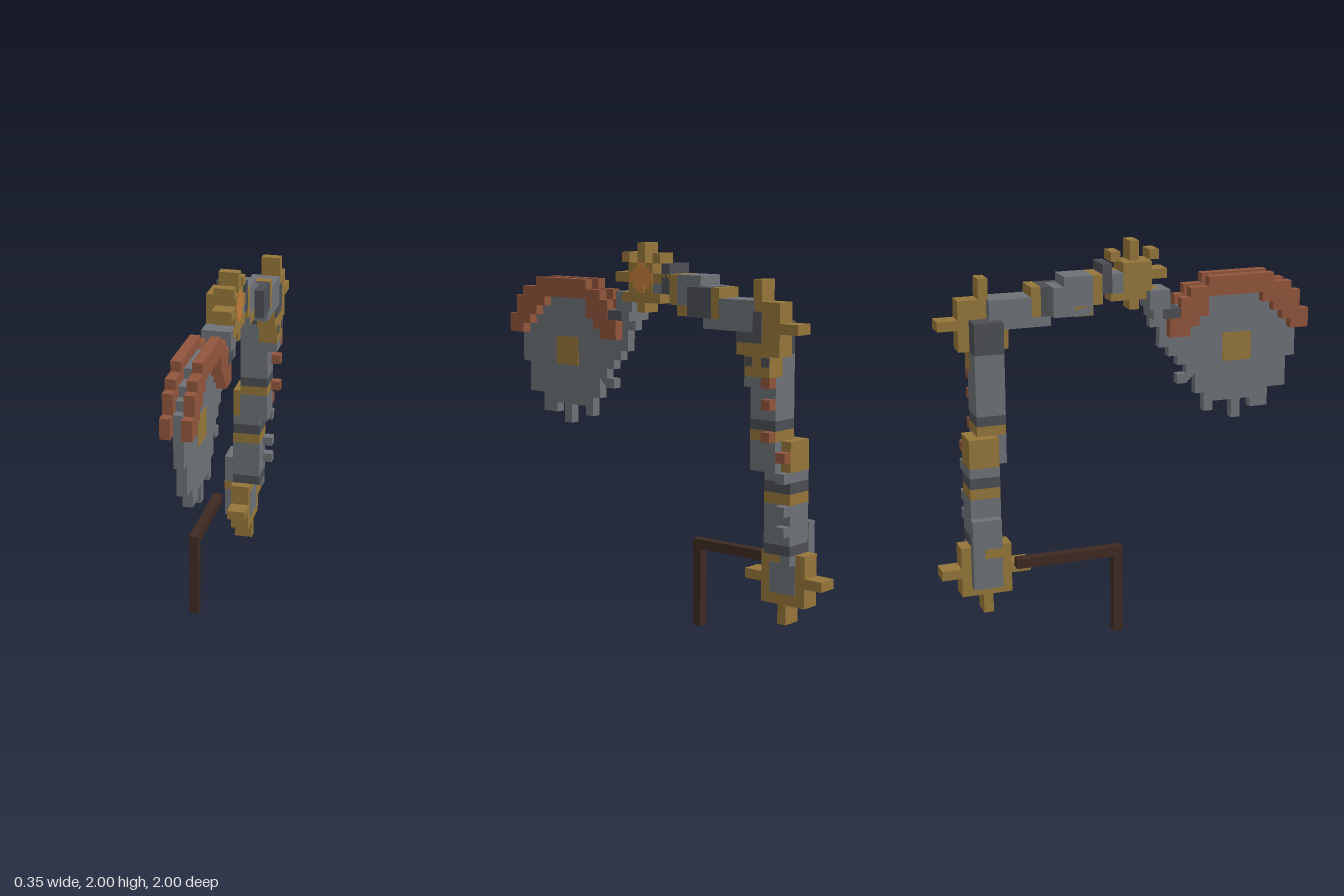
import * as THREE from 'three';
import { mergeGeometries } from 'three/addons/utils/BufferGeometryUtils.js';

const mat = (name, color) => Object.assign(new THREE.MeshStandardMaterial({ color }), { name });

export function createModel() {
  const steel = mat('steel', 0x6d7176);
  const dark = mat('darkSteel', 0x4b4e53);
  const brass = mat('brass', 0x95763a);
  const rust = mat('rust', 0x91553b);
  const glow = mat('glowOrange', 0xc07c38);
  const wood = mat('darkWood', 0x3e2a22);
  const model = new THREE.Group();

  // One mesh from boxes given as [x0, x1, y0, y1, z0, z1]
  function blocks(name, material, ...boxes) {
    const parts = boxes.map(([x0, x1, y0, y1, z0, z1]) =>
      new THREE.BoxGeometry(x1 - x0, y1 - y0, z1 - z0)
        .translate((x0 + x1) / 2, (y0 + y1) / 2, (z0 + z1) / 2));
    const mesh = new THREE.Mesh(mergeGeometries(parts), material);
    mesh.name = name;
    model.add(mesh);
  }

  // Stepped outline in (z, y), extruded from x0 to x1
  function plate(name, material, x0, x1, points) {
    const shape = new THREE.Shape(points.map(([z, y]) => new THREE.Vector2(z, y)));
    const geo = new THREE.ExtrudeGeometry(shape, { depth: x1 - x0, bevelEnabled: false });
    const mesh = new THREE.Mesh(geo, material);
    mesh.rotation.y = -Math.PI / 2;
    mesh.position.x = x1;
    mesh.name = name;
    model.add(mesh);
  }

  // Saw blade with its stepped teeth, running up into the arm
  plate('sawBlade', steel, 0.02, 0.07, [
    [0.95, 1.34], [0.95, 1.6], [0.9, 1.6], [0.9, 1.65], [0.85, 1.65], [0.85, 1.7], [0.75, 1.7], [0.75, 1.75],
    [0.49, 1.75], [0.49, 1.7], [0.39, 1.7], [0.39, 1.65], [0.29, 1.65], [0.29, 1.6], [0.14, 1.6], [0.14, 1.55],
    [0.19, 1.55], [0.19, 1.44], [0.24, 1.44], [0.24, 1.39], [0.29, 1.39], [0.29, 1.34], [0.34, 1.34],
    [0.34, 1.29], [0.29, 1.29], [0.29, 1.24], [0.34, 1.24], [0.34, 1.29], [0.39, 1.29], [0.39, 1.18],
    [0.44, 1.18], [0.44, 1.08], [0.49, 1.08], [0.49, 1.13], [0.595, 1.13], [0.595, 1.03], [0.645, 1.03],
    [0.645, 1.13], [0.7, 1.13], [0.7, 1.08], [0.8, 1.08], [0.8, 1.18], [0.9, 1.18], [0.9, 1.34],
  ].filter((p, i) => i !== 27));
  blocks('bladeHub', brass, [0.017, 0.073, 1.34, 1.49, 0.54, 0.7]);

  // Blade guard, one half on each side of the blade
  const guard = [
    [1, 1.5], [1, 1.6], [0.95, 1.6], [0.95, 1.7], [0.9, 1.7], [0.9, 1.75], [0.8, 1.75], [0.8, 1.8],
    [0.44, 1.8], [0.44, 1.75], [0.34, 1.75], [0.34, 1.7], [0.29, 1.7], [0.29, 1.6], [0.23, 1.6],
    [0.23, 1.5], [0.34, 1.5], [0.34, 1.55], [0.39, 1.55], [0.39, 1.6], [0.44, 1.6], [0.44, 1.7],
    [0.74, 1.7], [0.74, 1.65], [0.8, 1.65], [0.8, 1.6], [0.85, 1.6], [0.85, 1.55], [0.9, 1.55], [0.9, 1.5],
  ];
  plate('bladeGuardRight', rust, -0.03, 0.02, guard);
  plate('bladeGuardLeft', rust, 0.07, 0.12, guard);

  // Wrist linking blade and upper gear
  blocks('wristClamp', dark, [-0.03, 0.12, 1.6, 1.65, 0.19, 0.285]);
  blocks('wrist', steel, [-0.03, 0.118, 1.65, 1.75, 0.12, 0.23], [-0.03, 0.12, 1.6, 1.65, 0.14, 0.19]);

  // Upper gear with orthogonal and diagonal teeth
  blocks('upperGear', brass,
    [0.02, 0.12, 1.7, 1.9, -0.02, 0.14],
    [0.02, 0.12, 1.65, 2, 0.03, 0.08],
    [0.02, 0.12, 1.8, 1.85, -0.13, 0.23],
    [0.02, 0.12, 1.9, 1.95, 0.135, 0.185], [0.02, 0.12, 1.9, 1.95, -0.07, -0.02],
    [0.02, 0.12, 1.7, 1.75, 0.135, 0.185], [0.02, 0.12, 1.7, 1.75, -0.07, -0.02],
    [-0.03, 0.02, 1.75, 1.9, -0.02, 0.13]);
  blocks('upperGearGlow', glow,
    [0.115, 0.123, 1.8, 1.85, -0.02, 0.13], [0.115, 0.123, 1.75, 1.9, 0.03, 0.08],
    [0.115, 0.122, 1.77, 1.88, 0, 0.11]);

  // Forearm, stepping back and down to the elbow
  blocks('forearm', steel,
    [-0.03, 0.117, 1.75, 1.85, -0.08, -0.02],
    [-0.03, 0.12, 1.65, 1.85, -0.33, -0.18],
    [-0.03, 0.12, 1.65, 1.8, -0.385, -0.33],
    [0.02, 0.17, 1.6, 1.75, -0.7, -0.48]);
  blocks('forearmDarkBands', dark,
    [-0.03, 0.12, 1.75, 1.9, -0.13, -0.08],
    [0.02, 0.17, 1.65, 1.798, -0.435, -0.285]);
  blocks('forearmBrassBands', brass,
    [-0.03, 0.12, 1.7, 1.85, -0.18, -0.13],
    [-0.03, 0.122, 1.648, 1.7, -0.28, -0.18],
    [0.02, 0.17, 1.65, 1.8, -0.485, -0.435]);
  blocks('forearmUnderside', steel, [0.02, 0.17, 1.6, 1.65, -0.48, -0.385]);

  // Elbow gear
  blocks('elbowGear', brass,
    [0.07, 0.168, 1.49, 1.747, -0.845, -0.59],
    [0.07, 0.17, 1.74, 1.85, -0.74, -0.69],
    [0.07, 0.17, 1.6, 1.65, -0.95, -0.84]);
  blocks('elbowHub', dark,
    [0.16, 0.173, 1.55, 1.6, -0.74, -0.59], [0.16, 0.173, 1.6, 1.7, -0.74, -0.69]);
  blocks('elbowCap', dark, [-0.03, 0.07, 1.49, 1.65, -0.79, -0.64]);

  // Upper column with bands
  blocks('upperColumn', steel,
    [-0.03, 0.12, 1.18, 1.39, -0.79, -0.64], [-0.03, 0.12, 0.93, 1.08, -0.79, -0.64],
    [0.12, 0.17, 1.34, 1.39, -0.74, -0.64], [-0.03, 0.07, 1.39, 1.49, -0.79, -0.64]);
  blocks('upperColumnDarkBand', dark, [-0.03, 0.12, 1.13, 1.18, -0.79, -0.64]);
  blocks('upperColumnBrassBands', brass,
    [-0.03, 0.12, 1.08, 1.13, -0.79, -0.64], [0.07, 0.17, 1.39, 1.49, -0.79, -0.64]);
  blocks('elbowRivets', dark,
    [0.165, 0.173, 1.44, 1.485, -0.688, -0.645], [0.165, 0.173, 1.44, 1.485, -0.787, -0.742]);

  // Lower column with bands
  blocks('lowerColumn', steel,
    [-0.08, 0.07, 0.88, 0.93, -0.845, -0.69], [-0.08, 0.07, 0.57, 0.77, -0.845, -0.69],
    [0.02, 0.07, 0.47, 0.52, -0.845, -0.79]);
  blocks('lowerColumnDarkBands', dark,
    [-0.08, 0.07, 0.825, 0.88, -0.845, -0.69], [-0.08, 0.07, 0.52, 0.57, -0.845, -0.69]);
  blocks('lowerColumnBrass', brass,
    [-0.08, 0.07, 0.77, 0.825, -0.845, -0.69],
    [-0.08, 0.07, 0.93, 1.08, -0.845, -0.692]);

  // Rack teeth along the columns
  blocks('rustTeeth', rust,
    [0.12, 0.17, 1.34, 1.39, -0.79, -0.74], [0.12, 0.17, 1.235, 1.285, -0.79, -0.74],
    [0.12, 0.17, 1.08, 1.13, -0.79, -0.74], [0.07, 0.12, 0.98, 1.03, -0.845, -0.79]);
  blocks('steelTeeth', steel,
    ...[0.88, 0.72, 0.62].map(y => [0.07, 0.12, y, y + 0.05, -0.845, -0.79]));

  // Base gear with hub and outer cap
  blocks('baseGear', brass,
    [-0.08, 0.02, 0.26, 0.52, -0.9, -0.64],
    [-0.08, 0.02, 0.16, 0.27, -0.79, -0.74],
    [-0.08, 0.02, 0.36, 0.41, -1, -0.54]);
  blocks('baseHub', steel, [0.015, 0.023, 0.315, 0.47, -0.845, -0.69]);
  blocks('baseCap', steel, [-0.13, -0.08, 0.31, 0.67, -0.85, -0.7]);
  blocks('baseCapBand', brass, [-0.132, -0.08, 0.47, 0.52, -0.79, -0.698]);

  // Crank handle
  blocks('crankHandle', wood,
    [-0.18, -0.13, 0, 0.465, -0.13, -0.08], [-0.18, -0.13, 0.415, 0.465, -0.64, -0.13]);
  return model;
}
